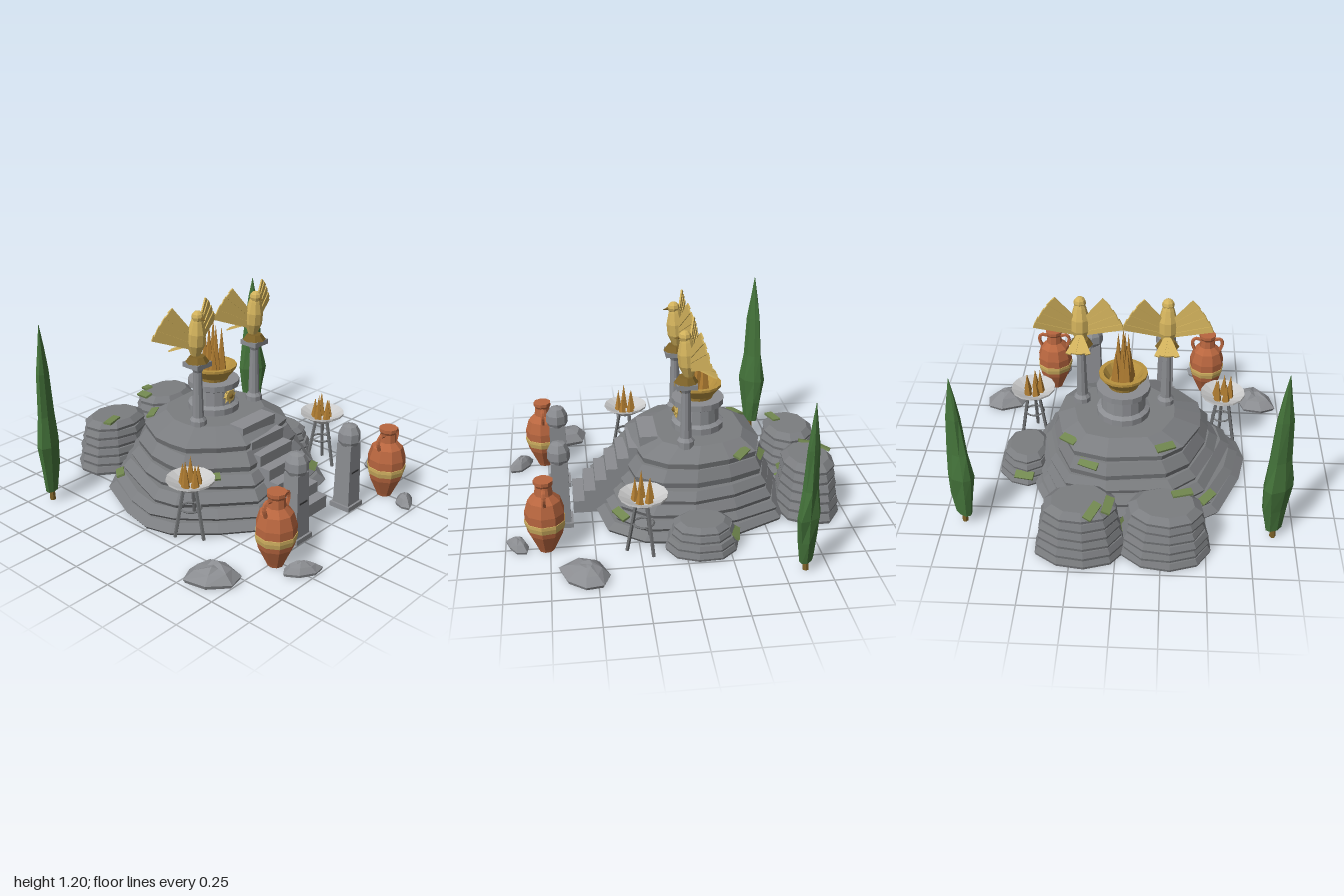
import * as THREE from 'three';

const mat = (color, side = THREE.FrontSide) => new THREE.MeshStandardMaterial({ color, flatShading: true, side });
const V2 = (a) => a.map(([x, y]) => new THREE.Vector2(x, y));

export function createModel() {
  const root = new THREE.Group();
  const rock = mat(0x7b7d80), stone = mat(0x8b8d91), dark = mat(0x3c3c3e), iron = mat(0x6c6e70);
  const pale = mat(0xcccccc, THREE.DoubleSide), gold = mat(0xd2b25c), bowlGold = mat(0xb8923f, THREE.DoubleSide);
  const flame = mat(0xb27e32), clay = mat(0xb8663f, THREE.DoubleSide), band = mat(0xd0b060);
  const leaf = mat(0x44733a), moss = mat(0x71874f), bronze = mat(0x7d6228);

  let seed = 7;
  const rand = () => (seed = (seed * 16807) % 2147483647) / 2147483647;

  const add = (parent, name, geo, material, x = 0, y = 0, z = 0) => {
    const m = new THREE.Mesh(geo, material);
    m.name = name;
    m.position.set(x, y, z);
    parent.add(m);
    return m;
  };
  const group = (name, x, y, z, parent = root) => {
    const g = new THREE.Group();
    g.name = name;
    g.position.set(x, y, z);
    parent.add(g);
    return g;
  };
  const cyl = (r1, r2, h, n) => new THREE.CylinderGeometry(r1, r2, h, n);
  const box = (x, y, z) => new THREE.BoxGeometry(x, y, z);
  const lathe = (pts, n) => new THREE.LatheGeometry(V2(pts), n);

  // Closed solid through equal-length loops, listed from bottom to top
  const loft = (rings) => {
    const p = [], n = rings[0].length;
    const tri = (...v) => v.forEach((q) => p.push(...q));
    const mid = (r) => [0, 1, 2].map((k) => r.reduce((s, q) => s + q[k], 0) / n);
    const lo = rings[0], hi = rings[rings.length - 1], cl = mid(lo), ch = mid(hi);
    for (let i = 0; i < n; i++) {
      const j = (i + 1) % n;
      for (let k = 0; k + 1 < rings.length; k++) {
        const a = rings[k], b = rings[k + 1];
        tri(a[i], b[i], a[j]);
        tri(a[j], b[i], b[j]);
      }
      tri(cl, lo[i], lo[j]);
      tri(ch, hi[j], hi[i]);
    }
    const g = new THREE.BufferGeometry();
    g.setAttribute('position', new THREE.Float32BufferAttribute(p, 3));
    g.computeVertexNormals();
    return g;
  };

  // Terraced rock: stacked slabs with a sloping shoulder, shrinking toward the top
  const terraces = [];
  const terrace = (name, outline, [cx, cz], levels, topScale, cap) => {
    const g = group(name, 0, 0, 0), n = levels.length - 1;
    for (let k = 0; k < n; k++) {
      const s = 1 - (1 - topScale) * k / (n - 1), y = levels[k], h = levels[k + 1] - y - 0.006;
      const wob = outline.map(() => k ? 0.97 + rand() * 0.06 : 1);
      const ring = (f, yy) => outline.map(([x, z], i) => [cx + (x - cx) * f * wob[i], yy, cz + (z - cz) * f * wob[i]]);
      const inset = k === n - 1 ? cap : 0.07;
      terraces.push(add(g, 'rockLayer', loft([ring(s * 0.98, y), ring(s, y + h * 0.35), ring(s - inset, y + h)]), rock));
    }
  };
  terrace('mound', [[0.57, -0.05], [0.53, 0.22], [0.38, 0.42], [0, 0.5], [-0.32, 0.53], [-0.53, 0.36], [-0.71, 0.16],
    [-0.75, 0], [-0.71, -0.2], [-0.58, -0.5], [-0.39, -0.63], [0.08, -0.68], [0.37, -0.6], [0.5, -0.34]],
  [0.04, -0.2], [0, 0.06, 0.12, 0.195, 0.27, 0.375, 0.478], 0.65, 0.2);
  const oval = (cx, cz, rx, rz) => Array.from({ length: 10 }, (_, i) => {
    const a = (i + 0.3) / 10 * Math.PI * 2, r = 0.95 + rand() * 0.08;
    return [cx + Math.cos(a) * rx * r, cz + Math.sin(a) * rz * r];
  });
  const steps = (h, n) => Array.from({ length: n + 1 }, (_, i) => h * i / n);
  for (const [name, x, z, rx, rz, h, n] of [['backRightOutcrop', -0.27, -0.78, 0.27, 0.205, 0.33, 6],
    ['backLeftOutcrop', 0.2, -0.79, 0.265, 0.205, 0.35, 6], ['leftOutcrop', 0.58, -0.1, 0.175, 0.22, 0.18, 4]])
    terrace(name, oval(x, z, rx, rz), [x, z], steps(h, n), 0.78, 0.18);

  // Moss patches dropped onto the rock surface
  root.updateMatrixWorld(true);
  const ray = new THREE.Raycaster();
  for (const [x, z, r] of [[-0.26, -0.43, 0.5], [-0.51, -0.47, 0.9], [0.06, -0.66, -0.1], [0.17, -0.5, -0.4], [0.29, -0.37, -0.7],
    [0.58, -0.29, -0.2], [-0.4, 0.18, -0.7], [0.35, 0.34, 0.5], [-0.46, -0.6, 0.6], [0.04, -0.83, 1.4], [-0.08, -0.95, -0.4],
    [0.12, -0.89, 1.1], [0.43, -0.68, 0.9], [-0.36, -0.7, 0.3], [-0.03, -0.71, 1.2], [0.4, -0.62, 1.3]]) {
    ray.set(new THREE.Vector3(x, 2, z), new THREE.Vector3(0, -1, 0));
    const hit = ray.intersectObjects(terraces)[0];
    if (!hit) continue;
    const m = add(root, 'mossPatch', box(0.115, 0.014, 0.05), moss, x, hit.point.y + 0.004, z);
    m.quaternion.setFromUnitVectors(new THREE.Vector3(0, 1, 0), hit.face.normal.clone().lerp(new THREE.Vector3(0, 1, 0), 0.5).normalize());
    m.rotateY(r);
  }

  // Staircase
  const stairs = group('staircase', 0, 0, 0);
  for (let i = 0; i < 7; i++) {
    const h = 0.48 - i * 0.067, front = 0.205 + i * 0.067;
    add(stairs, 'step', box(0.285, h, front - 0.1), stone, -0.005, h / 2, (front + 0.1) / 2);
  }

  // Altar with fire bowl and sun medallion
  const altar = group('altar', -0.01, 0.47, -0.155);
  add(altar, 'altarBody', lathe([[0, 0], [0.155, 0], [0.155, 0.04], [0.13, 0.055], [0.125, 0.14], [0.155, 0.155], [0.155, 0.19], [0, 0.19]], 16), stone);
  add(altar, 'fireBowl', lathe([[0, 0.185], [0.085, 0.185], [0.095, 0.21], [0.14, 0.265], [0.14, 0.28], [0.115, 0.28], [0.08, 0.225], [0, 0.225]], 16), bowlGold);
  for (let i = 0; i < 8; i++) {
    const a = i * 2.4, r = i ? 0.03 + 0.02 * (i % 2) : 0, h = i ? 0.2 + 0.13 * rand() : 0.36;
    add(altar, 'flame', new THREE.ConeGeometry(0.033, h, 5), flame, Math.cos(a) * r, 0.21 + h / 2, Math.sin(a) * r);
  }
  const sun = group('sunMedallion', 0, 0.11, 0.13, altar);
  add(sun, 'disc', cyl(0.036, 0.036, 0.02, 12), gold).rotation.x = Math.PI / 2;
  add(sun, 'boss', new THREE.SphereGeometry(0.017, 8, 6), bronze, 0, 0, 0.008);
  for (let i = 0; i < 8; i++) {
    const a = i * Math.PI / 4;
    add(sun, 'sunRay', new THREE.ConeGeometry(0.01, 0.025, 4), gold, -Math.sin(a) * 0.045, Math.cos(a) * 0.045).rotation.z = a;
  }

  // Thin tapered blade from a to b, used for feathers
  const blade = ([ax, ay], [bx, by], wa, wb) => {
    const l = Math.hypot(bx - ax, by - ay), nx = -(by - ay) / l, ny = (bx - ax) / l;
    const s = new THREE.Shape(V2([[ax - nx * wa, ay - ny * wa], [bx - nx * wb, by - ny * wb],
      [bx + nx * wb, by + ny * wb], [ax + nx * wa, ay + ny * wa]]));
    return new THREE.ExtrudeGeometry(s, { depth: 0.009, bevelEnabled: false });
  };

  // Columns carrying golden birds
  for (const x of [-0.255, 0.24]) {
    const g = group('birdColumn', x, 0.47, -0.05);
    add(g, 'columnShaft', lathe([[0, -0.03], [0.05, -0.03], [0.05, 0.03], [0.034, 0.05], [0.026, 0.33], [0.04, 0.36], [0, 0.36]], 10), stone);
    add(g, 'capital', box(0.118, 0.03, 0.118), stone, 0, 0.378, 0);
    const bird = group('bird', 0, 0.39, 0, g);
    add(bird, 'perch', cyl(0.045, 0.07, 0.035, 8), bronze, 0, 0.02, 0);
    const body = add(bird, 'body', lathe([[0, 0], [0.028, 0.005], [0.053, 0.07], [0.054, 0.14], [0.036, 0.21], [0.027, 0.235], [0, 0.24]], 9), gold, 0, 0.035, -0.015);
    body.rotation.x = 0.08;
    add(bird, 'head', new THREE.SphereGeometry(0.036, 8, 6), gold, 0, 0.272, 0.008);
    add(bird, 'beak', new THREE.ConeGeometry(0.013, 0.045, 5), bronze, 0, 0.265, 0.05).rotation.x = 1.8;
    for (const s of [-1, 1]) {
      const wing = group('wing', 0, 0, -0.015, bird);
      wing.rotation.y = s * 0.35;
      for (let i = 0; i < 7; i++) {
        const t = i / 6, b = Math.sin(Math.PI * t) * 0.004;
        add(wing, 'feather', blade([s * 0.03, 0.09 + 0.09 * t], [s * (0.262 - 0.11 * t + b), 0.185 + 0.143 * t + b], 0.012, 0.018),
          gold, 0, 0, i % 2 * 0.006);
      }
    }
    const tail = group('tail', 0, 0.08, -0.06, bird);
    tail.rotation.x = -Math.PI / 2 - 0.4;
    for (let i = -2; i <= 2; i++) add(tail, 'tailFeather', blade([i * 0.004, -0.02], [i * 0.028, 0.115], 0.008, 0.015), gold, 0, 0, Math.abs(i % 2) * 0.004);
  }

  // Gate posts with faceted domes
  for (const x of [-0.247, 0.235]) {
    const g = group('gatePost', x, 0, 0.68);
    add(g, 'postBase', box(0.136, 0.03, 0.136), stone, 0, 0.015, 0);
    add(g, 'postShaft', cyl(0.068, 0.078, 0.385, 4), stone, 0, 0.22, 0).rotation.y = Math.PI / 4;
    add(g, 'postHead', lathe([[0, 0.4], [0.055, 0.405], [0.066, 0.43], [0.064, 0.48], [0.042, 0.52], [0, 0.53]], 8), stone);
    add(g, 'slot', box(0.065, 0.01, 0.01), dark, 0, 0.24, 0.05);
  }

  // Two-handled jars
  for (const x of [-0.525, 0.505]) {
    const g = group('jar', x, 0, 0.77);
    add(g, 'jarBody', lathe([[0, 0], [0.045, 0], [0.053, 0.02], [0.1, 0.12], [0.113, 0.18], [0.113, 0.25], [0.092, 0.32],
      [0.052, 0.355], [0.046, 0.405], [0.055, 0.42], [0.055, 0.44], [0, 0.44]], 9), clay);
    add(g, 'jarBand', lathe([[0.109, 0.152], [0.116, 0.18], [0.116, 0.2], [0.11, 0.202]], 9), band);
    for (const s of [-1, 1]) {
      const path = new THREE.CatmullRomCurve3([[0.045, 0.4], [0.085, 0.405], [0.1, 0.37], [0.085, 0.32]].map(([a, b]) => new THREE.Vector3(s * a, b, 0)));
      add(g, 'handle', new THREE.TubeGeometry(path, 8, 0.012, 5), clay);
    }
  }

  // Tripod braziers
  for (const x of [-0.61, 0.577]) {
    const g = group('brazier', x, 0, 0.23);
    add(g, 'brazierBowl', lathe([[0, 0.285], [0.05, 0.29], [0.137, 0.345], [0.137, 0.357], [0.06, 0.318], [0, 0.31]], 14), pale);
    add(g, 'brazierRing', new THREE.TorusGeometry(0.058, 0.007, 4, 12), iron, 0, 0.17, 0).rotation.x = Math.PI / 2;
    for (let i = 0; i < 3; i++) {
      const a = Math.PI / 2 + i * Math.PI * 2 / 3, c = Math.cos(a), s = Math.sin(a);
      const leg = new THREE.LineCurve3(new THREE.Vector3(c * 0.04, 0.3, s * 0.04), new THREE.Vector3(c * 0.095, 0, s * 0.095));
      add(g, 'brazierLeg', new THREE.TubeGeometry(leg, 1, 0.011, 5), iron);
    }
    for (let i = 0; i < 5; i++) {
      const a = i * 1.257 + 0.5, h = 0.12 + 0.05 * (i * 2 % 5) / 4;
      add(g, 'brazierFlame', new THREE.ConeGeometry(0.027, h, 5), flame, Math.cos(a) * 0.045, 0.31 + h / 2, Math.sin(a) * 0.045);
    }
  }

  // Cypress trees, flattened, uneven and turned
  for (const [x, z, h, r, turn] of [[-0.88, -0.665, 1.1, 1, 0.58], [0.88, -0.62, 0.99, 0.93, -0.65]]) {
    const g = group('cypress', x, 0, z);
    g.rotation.y = turn;
    add(g, 'trunk', cyl(0.015, 0.018, 0.1, 6), bronze, 0, 0.05, 0);
    const rings = [[0.06, 0.07], [0.085, 0.22], [0.105, 0.38], [0.075, 0.56], [0.055, 0.82], [0.03, 0.96], [0.002, 1.1]].map(([w, y]) =>
      Array.from({ length: 8 }, (_, i) => {
        const a = i / 8 * Math.PI * 2, f = w * (0.88 + rand() * 0.2);
        return [Math.cos(a) * f, y, Math.sin(a) * f];
      }));
    add(g, 'foliage', loft(rings), leaf).scale.set(r, h / 1.1, 0.58 * r);
  }

  // Loose boulders with flat undersides
  for (const [x, z, rx, rz, h, turn] of [[-0.845, 0.62, 0.165, 0.115, 0.095, -0.9], [0.82, 0.56, 0.165, 0.125, 0.095, 0.7],
    [-0.495, 0.92, 0.11, 0.06, 0.075, -0.65], [0.48, 0.93, 0.085, 0.055, 0.07, 0.6]]) {
    const n = 7, wob = Array.from({ length: n }, () => 0.82 + rand() * 0.28);
    const ring = (f, y) => wob.map((w, i) => {
      const a = i / n * Math.PI * 2;
      return [Math.cos(a) * rx * w * f, y * h * (y ? 0.75 + rand() * 0.25 : 1), Math.sin(a) * rz * w * f];
    });
    add(root, 'boulder', loft([ring(0.93, 0), ring(1, 0.25), ring(0.65, 0.75), ring(0.25, 1)]), stone, x, 0, z).rotation.y = turn;
  }
  return root;
}
